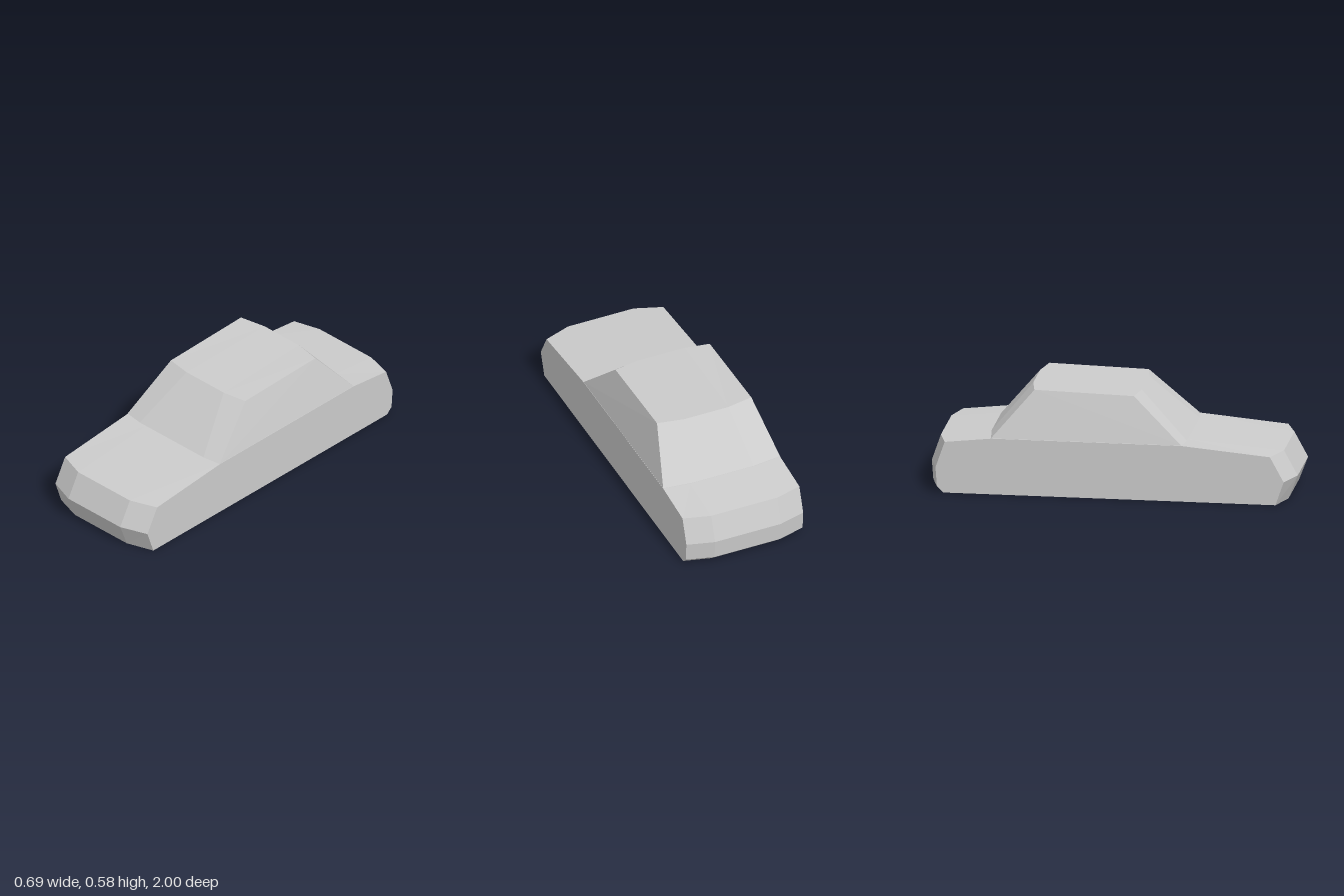
import * as THREE from 'three';

// Skin a closed, flat-faceted hull across x. Each column is a side profile of
// [x, y, z] points running front bottom -> top -> rear bottom; columns are mirrored.
function hull(name, inner, outer) {
  const flip = (col) => col.map(([x, y, z]) => [-x, y, z]);
  const columns = [flip(outer), flip(inner), inner, outer];
  const n = inner.length;
  const pos = [];
  const tri = (...pts) => pts.forEach((p) => pos.push(...p));

  for (let c = 0; c < 3; c++) {
    const a = columns[c], b = columns[c + 1];
    for (let i = 0; i < n; i++) {
      const j = (i + 1) % n;
      tri(a[i], b[i], b[j]);
      tri(a[i], b[j], a[j]);
    }
  }
  // Side panels
  const l = columns[3], r = columns[0];
  for (let i = 1; i < n - 1; i++) {
    tri(l[0], l[i + 1], l[i]);
    tri(r[0], r[i], r[i + 1]);
  }

  const geo = new THREE.BufferGeometry();
  geo.setAttribute('position', new THREE.Float32BufferAttribute(pos, 3));
  geo.computeVertexNormals();
  const mesh = new THREE.Mesh(geo, new THREE.MeshStandardMaterial({ color: 0xcccccc, flatShading: true }));
  mesh.name = name;
  return mesh;
}

export function createModel() {
  const group = new THREE.Group();
  group.name = 'car';

  // Lower body: [y, z at the middle, z at the sides]
  const body = [
    [0, 0.95, 0.9],          // nose underside
    [0.13, 1, 0.945],        // bumper line
    [0.268, 0.925, 0.87],    // bonnet edge
    [0.312, 0.4, 0.385],     // windscreen foot
    [0.312, -0.675, -0.655], // rear window foot
    [0.284, -0.95, -0.908],  // boot edge
    [0.14, -1, -0.958],      // tail
    [0.033, -0.992, -0.95],
    [0, -0.955, -0.915],     // tail underside
  ];
  group.add(hull('body',
    body.map(([y, z]) => [0.195, y, z]),
    body.map(([y, , z]) => [0.347, y, z])));

  // Cabin: windscreen foot, roof front, roof rear, rear window foot
  group.add(hull('cabin',
    [[0.24, 0.314, 0.4], [0.14, 0.563, 0.14], [0.13, 0.577, -0.455], [0.18, 0.314, -0.675]],
    [[0.347, 0.314, 0.385], [0.28, 0.563, 0.117], [0.28, 0.577, -0.427], [0.347, 0.314, -0.655]]));

  return group;
}
